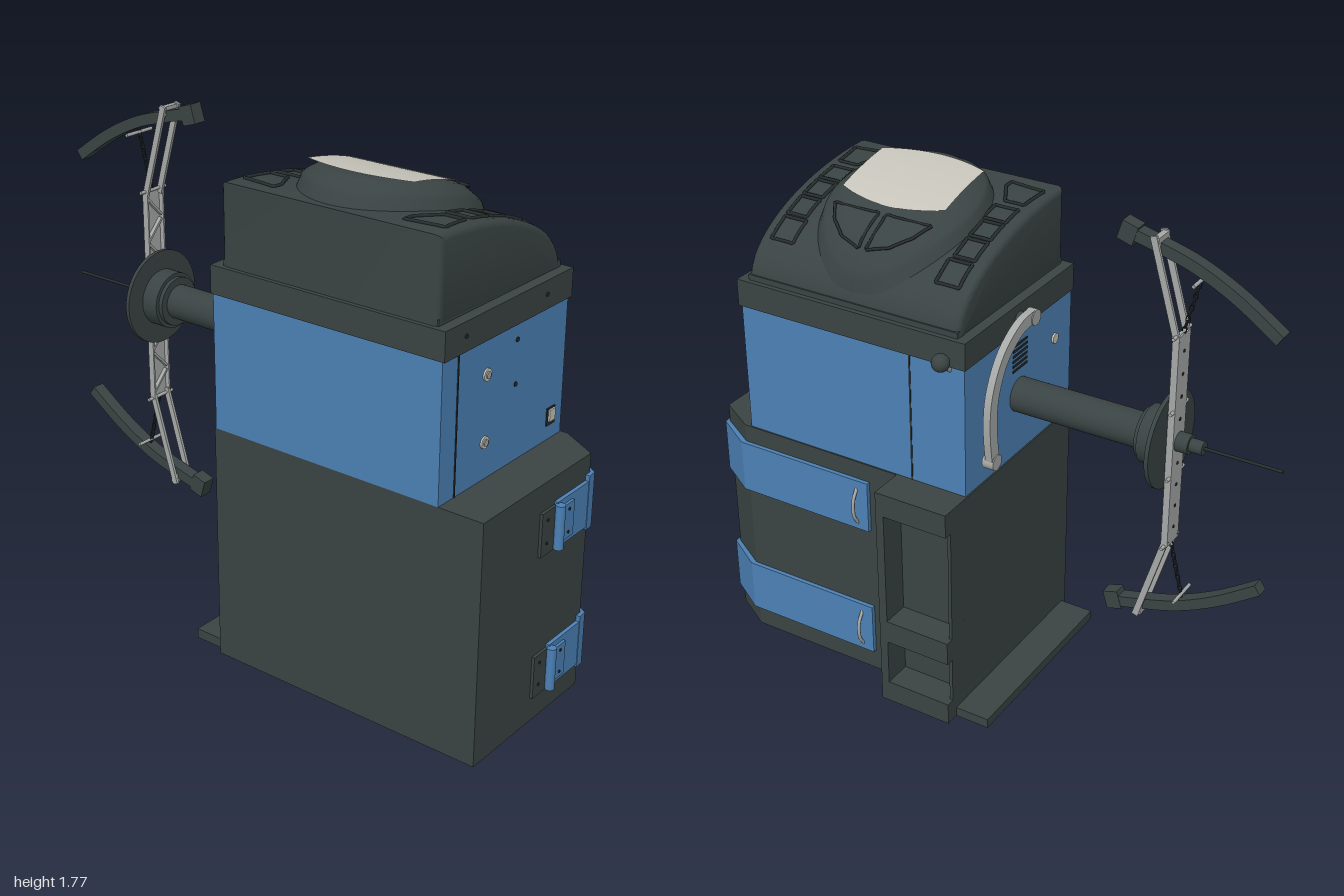
import * as THREE from 'three';
import { toCreasedNormals } from 'three/addons/utils/BufferGeometryUtils.js';

const mat = (color) => new THREE.MeshStandardMaterial({ color, side: THREE.DoubleSide });
const dark = mat(0x3a4343), black = mat(0x272d2d), blue = mat(0x4b80b4), steel = mat(0xa6a9a7), pale = mat(0xc6c4ba);
const V2 = (p) => new THREE.Vector2(...p), V3 = (...p) => new THREE.Vector3(...p);

function add(parent, name, geo, material, x = 0, y = 0, z = 0) {
  const m = new THREE.Mesh(geo, material);
  m.name = name;
  m.position.set(x, y, z);
  parent.add(m);
  return m;
}
// Box given by its limits on each axis
const box = (parent, name, material, [x0, x1], [y0, y1], [z0, z1]) =>
  add(parent, name, new THREE.BoxGeometry(x1 - x0, y1 - y0, z1 - z0), material, (x0 + x1) / 2, (y0 + y1) / 2, (z0 + z1) / 2);
// Cylinder along z
const rodZ = (parent, name, material, r, z0, z1, x, y, r2 = r) =>
  add(parent, name, new THREE.CylinderGeometry(r, r2, Math.abs(z1 - z0), 40).rotateX(Math.PI / 2), material, x, y, (z0 + z1) / 2);
// Plan outline of [x, z] points raised from y0 to y1
function prism(parent, name, material, pts, y0, y1) {
  const shape = new THREE.Shape(pts.map(([x, z]) => new THREE.Vector2(x, -z)));
  const geo = new THREE.ExtrudeGeometry(shape, { depth: y1 - y0, bevelEnabled: false }).rotateX(-Math.PI / 2);
  return add(parent, name, geo, material, 0, y0);
}
// Strip of constant width along a smooth plane curve, with thickness centred on zero
function ribbon(pts, half, depth) {
  const curve = new THREE.SplineCurve(pts.map(V2)), a = [], b = [];
  for (let i = 0; i <= 24; i++) {
    const p = curve.getPoint(i / 24), t = curve.getTangent(i / 24);
    a.push(new THREE.Vector2(p.x - t.y * half, p.y + t.x * half));
    b.unshift(new THREE.Vector2(p.x + t.y * half, p.y - t.x * half));
  }
  const geo = new THREE.ExtrudeGeometry(new THREE.Shape([...a, ...b]), { depth, bevelEnabled: false }).translate(0, 0, -depth / 2);
  return toCreasedNormals(geo, 0.6);
}

// Heights of the hood surface and of the raised display on it
const drop = (x, h, len) => h * (1 - Math.sqrt(Math.max(0, 1 - ((x + 0.39) / len) ** 2)));
const hoodY = (x) => 1.665 - drop(x, 0.27, 0.645);
const bossY = (x) => 1.742 - drop(x, 0.3, 0.66);

// Closed raised line laid over a height function
function rim(parent, name, pts, height, r = 0.006) {
  const path = new THREE.CurvePath();
  const v = [];
  pts.forEach(([x, z], i) => {
    const [nx, nz] = pts[(i + 1) % pts.length];
    for (let k = 0; k < 5; k++) {
      const px = x + (nx - x) * k / 5, pz = z + (nz - z) * k / 5;
      v.push(V3(px, height(px) + 0.002, pz));
    }
  });
  return add(parent, name, new THREE.TubeGeometry(new THREE.CatmullRomCurve3(v, true), 60, r, 6, true), black);
}

function buildCabinet(g) {
  const plan = [[-0.4, -0.07], [0.275, -0.07], [0.275, 0.825], [0.195, 0.96], [-0.4, 0.96]];
  prism(g, 'lowerCabinet', dark, plan, 0, 0.84);
  box(g, 'footPlate', dark, [-0.375, 0.35], [0, 0.035], [-0.195, 0.1]);
  // Side storage block with two open pockets
  const X = [0.27, 0.4], Z = [-0.07, 0.2];
  box(g, 'pocketBack', dark, [0.27, 0.3], [0, 0.84], Z);
  box(g, 'pocketFrontWall', dark, X, [0, 0.84], [0.17, 0.2]);
  box(g, 'pocketRearWall', dark, [0.27, 0.37], [0, 0.84], [-0.07, -0.058]);
  for (const y of [[0, 0.08], [0.25, 0.335], [0.755, 0.84]]) box(g, 'pocketShelf', dark, X, y, Z);

  // Wrap-around bands with latch and handle
  for (const y of [0.585, 0.08]) {
    prism(g, 'band', blue, [[0.17, 0.975], [0.205, 0.972], [0.29, 0.835], [0.29, 0.31], [0.27, 0.31],
      [0.27, 0.82], [0.19, 0.95], [0.17, 0.95]], y, y + 0.19);
    box(g, 'latchPlate', dark, [-0.09, 0.02], [y + 0.01, y + 0.16], [0.95, 0.97]);
    box(g, 'latchStrap', blue, [-0.01, 0.18], [y + 0.01, y + 0.17], [0.95, 0.973]);
    box(g, 'latchPad', blue, [0.01, 0.075], [y + 0.03, y + 0.15], [0.97, 0.982]);
    add(g, 'hingeBarrel', new THREE.CylinderGeometry(0.016, 0.016, 0.15, 16), blue, -0.01, y + 0.09, 0.983);
    for (const [sx, sy] of [[-0.06, 0.05], [-0.06, 0.13], [0.045, 0.05], [0.045, 0.13]])
      rodZ(g, 'latchScrew', black, 0.005, 0.96, sx > 0 ? 0.985 : 0.973, sx, y + sy);
    const bow = new THREE.CatmullRomCurve3([V3(0.285, y + 0.02, 0.355), V3(0.308, y + 0.06, 0.355),
      V3(0.308, y + 0.12, 0.355), V3(0.285, y + 0.16, 0.355)]);
    add(g, 'bandHandle', new THREE.TubeGeometry(bow, 20, 0.006, 8), steel);
  }
}

function buildUpperBody(g) {
  box(g, 'upperBody', blue, [-0.4, 0.27], [0.84, 1.3], [-0.065, 0.8]);
  box(g, 'frontSeam', black, [-0.323, -0.317], [0.84, 1.3], [0.79, 0.802]);
  box(g, 'sideSeam', black, [0.26, 0.272], [0.84, 1.3], [0.137, 0.143]);
  box(g, 'collar', dark, [-0.405, 0.275], [1.3, 1.395], [-0.07, 0.81]);
  for (const y of [1.185, 0.965]) {
    rodZ(g, 'frontBolt', pale, 0.02, 0.79, 0.806, -0.17, y);
    rodZ(g, 'frontBoltCentre', steel, 0.011, 0.8, 0.81, -0.17, y);
    rodZ(g, 'rearBolt', pale, 0.018, -0.072, -0.05, -0.29, y - 0.02);
  }
  for (const y of [1.245, 1.1]) rodZ(g, 'smallScrew', black, 0.008, 0.79, 0.803, -0.01, y);
  for (const x of [-0.3, 0.13]) rodZ(g, 'collarScrew', black, 0.007, 0.8, 0.814, x, 1.35);
  box(g, 'switchFrame', black, [0.18, 0.226], [0.89, 0.95], [0.79, 0.804]);
  box(g, 'switchRocker', pale, [0.187, 0.219], [0.905, 0.945], [0.79, 0.81]);
  // Rear vent panel
  for (let i = 0; i < 6; i++) box(g, 'ventSlot', black, [-0.11, -0.02], [1.155 + i * 0.018, 1.163 + i * 0.018], [-0.068, -0.06]);
  // Ball knob on a slanted stem
  const stem = new THREE.LineCurve3(V3(0.265, 1.285, -0.01), V3(0.32, 1.335, -0.01));
  add(g, 'knobStem', new THREE.TubeGeometry(stem, 1, 0.008, 10), steel);
  add(g, 'knobBall', new THREE.SphereGeometry(0.03, 24, 16), dark, 0.32, 1.335, -0.01);
}

function buildHood(g) {
  // Sloped hood, its side profile run along z
  const pts = [[-0.39, 1.39]];
  for (let i = 0; i <= 30; i++) {
    const x = -0.39 + 0.645 * Math.sin(i / 30 * Math.PI / 2);
    pts.push([x, hoodY(x)]);
  }
  pts.push([0.262, 1.39]);
  const geo = new THREE.ExtrudeGeometry(new THREE.Shape(pts.map(V2)),
    { depth: 0.77, bevelThickness: 0.02, bevelSize: 0.02, bevelOffset: -0.02, bevelSegments: 3 });
  add(g, 'hood', toCreasedNormals(geo, 0.6), dark, 0, 0, -0.015);
  box(g, 'hoodSkirt', dark, [-0.385, 0.258], [1.385, 1.415], [-0.033, 0.773]);

  // Raised oval display housing made of rings draped over the slope
  const rings = [[1.08, -1], [1.0, 0.45], [0.95, 0.6], [0.8, 0.93], [0.7, 1], [0.35, 1], [0, 1]], N = 64, pos = [], idx = [];
  rings.forEach(([s, k], r) => {
    for (let i = 0; i <= N; i++) {
      const a = i / N * Math.PI * 2;
      const x = Math.max(-0.375, Math.min(0.245, -0.055 + 0.295 * s * Math.cos(a)));
      const y = k < 0 ? hoodY(x) - 0.02 : hoodY(x) + (bossY(x) - hoodY(x)) * k;
      pos.push(x, y, 0.36 + 0.26 * s * Math.sin(a));
      if (r && i) {
        const q = r * (N + 1) + i, p = q - N - 1;
        idx.push(p - 1, q - 1, p, p, q - 1, q);
      }
    }
  });
  const boss = new THREE.BufferGeometry();
  boss.setAttribute('position', new THREE.Float32BufferAttribute(pos, 3));
  boss.setIndex(idx);
  boss.computeVertexNormals();
  add(g, 'displayHousing', boss, dark);

  // Barrel-shaped screen following the housing
  const screen = new THREE.PlaneGeometry(2, 2, 16, 16).rotateX(-Math.PI / 2), p = screen.attributes.position;
  for (let i = 0; i < p.count; i++) {
    const u = p.getX(i), v = p.getZ(i), x = -0.105 + u * (0.155 - 0.04 * v * v);
    p.setXYZ(i, x, bossY(x) + 0.004, 0.362 + v * 0.197);
  }
  screen.computeVertexNormals();
  add(g, 'screen', screen, pale);
  // Two button wells beside the screen
  for (const s of [-1, 1])
    rim(g, 'buttonWell', [[0.075, 0.36 + s * 0.015], [0.195, 0.36 + s * 0.015], [0.175, 0.36 + s * 0.09],
      [0.13, 0.36 + s * 0.15], [0.075, 0.36 + s * 0.185]], (x) => bossY(x) - 0.004, 0.005);
  // Weight trays along both edges
  for (const s of [-1, 1]) {
    const z = (d) => 0.37 + s * d;
    rim(g, 'cornerTray', [[-0.335, z(0.24)], [-0.3, z(0.24)], [-0.21, z(0.29)], [-0.21, z(0.36)], [-0.32, z(0.37)]], hoodY);
    for (let i = 0; i < 4; i++) {
      const x = -0.175 + i * 0.092, bow = i % 3 ? 0.285 : 0.275;
      rim(g, 'weightTray', [[x, z(bow)], [x + 0.078, z(bow)], [x + 0.078, z(0.36)], [x, z(0.36)]], hoodY);
    }
  }
}

function buildShaftAndClamp(g) {
  const X = -0.063, Y = 1.06;
  rodZ(g, 'shaft', dark, 0.06, -0.54, -0.06, X, Y);
  rodZ(g, 'flange', dark, 0.085, -0.545, -0.53, X, Y);
  rodZ(g, 'flangeBody', dark, 0.098, -0.61, -0.545, X, Y);
  rodZ(g, 'flangeDisc', dark, 0.165, -0.622, -0.608, X, Y);
  rodZ(g, 'clampHub', dark, 0.033, -0.69, -0.62, X, Y);
  rodZ(g, 'clampNut', dark, 0.023, -0.735, -0.68, X, Y);
  rodZ(g, 'spindleRod', black, 0.005, -1, -0.73, X, Y);

  // Each clamp half is built upward from the axis, then mirrored
  for (const s of [1, -1]) {
    const h = new THREE.Group();
    h.name = s > 0 ? 'upperClamp' : 'lowerClamp';
    h.position.set(X, Y, 0);
    h.scale.y = s;
    g.add(h);
    prismBar(h);
    for (const x of [-0.034, 0.034]) {
      const link = box(h, 'clampLink', steel, [x - 0.005, x + 0.005], [-0.17, 0.17], [-0.011, 0.011]);
      link.position.set(x, 0.525, -0.589);
      link.rotation.x = 0.285;
    }
    box(h, 'linkBridge', steel, [-0.036, 0.036], [0.655, 0.685], [-0.56, -0.54]);
    const hook = ribbon([[-0.45, 0.675], [-0.55, 0.65], [-0.68, 0.61], [-0.82, 0.54], [-0.96, 0.445]], 0.019, 0.045);
    add(h, 'curvedJaw', hook.rotateY(-Math.PI / 2), dark);
    const tip = box(h, 'jawTip', dark, [-0.024, 0.024], [0.64, 0.705], [-0.475, -0.42]);
    tip.rotation.x = -0.3;
    for (const [y, z] of [[0.38, -0.635], [0.12, -0.64], [0.57, -0.69]])
      add(h, 'crossPin', new THREE.CylinderGeometry(0.006, 0.006, 0.12, 10).rotateZ(Math.PI / 2), steel, 0, y, z);
    // Chain from jaw to bar
    const a = V3(0, 0.58, -0.69), b = V3(0, 0.38, -0.64);
    for (let i = 0; i < 10; i++) {
      const link = add(h, 'chainLink', new THREE.TorusGeometry(0.01, 0.0028, 6, 12).scale(0.7, 1.3, 1), black);
      link.position.lerpVectors(a, b, (i + 0.5) / 10);
      link.rotation.set(-0.24, i % 2 ? Math.PI / 2 : 0, 0);
    }
  }
}

// Channel-section bar with a ribbed inner side
function prismBar(h) {
  box(h, 'clampBarWeb', steel, [-0.04, 0.04], [0, 0.38], [-0.646, -0.64]);
  for (const x of [-0.04, 0.034]) box(h, 'clampBarFlange', steel, [x, x + 0.006], [0, 0.38], [-0.646, -0.623]);
  for (let i = 0; i < 4; i++) {
    const rib = box(h, 'clampBarRib', steel, [-0.004, 0.004], [-0.045, 0.045], [-0.64, -0.626]);
    rib.position.y = 0.08 + i * 0.08;
    rib.rotation.z = i % 2 ? 0.75 : -0.75;
    rodZ(h, 'barHole', black, 0.006, -0.648, -0.64, 0, 0.08 + i * 0.08);
  }
}

function buildGaugeArm(g) {
  add(g, 'gaugeArm', ribbon([[-0.065, 1.365], [0.03, 1.355], [0.13, 1.29], [0.19, 1.18], [0.2, 1.06], [0.185, 0.94]], 0.022, 0.026),
    steel, 0, 0, -0.115);
  rodZ(g, 'gaugePivot', dark, 0.028, -0.1, -0.05, -0.05, 1.34);
  rodZ(g, 'gaugePivotCap', steel, 0.027, -0.132, -0.1, -0.055, 1.36);
  rodZ(g, 'gaugeTip', steel, 0.027, -0.132, -0.09, 0.185, 0.945);
}

export function createModel() {
  const g = new THREE.Group();
  g.name = 'wheelBalancer';
  for (const build of [buildCabinet, buildUpperBody, buildHood, buildShaftAndClamp, buildGaugeArm]) build(g);
  return g;
}
